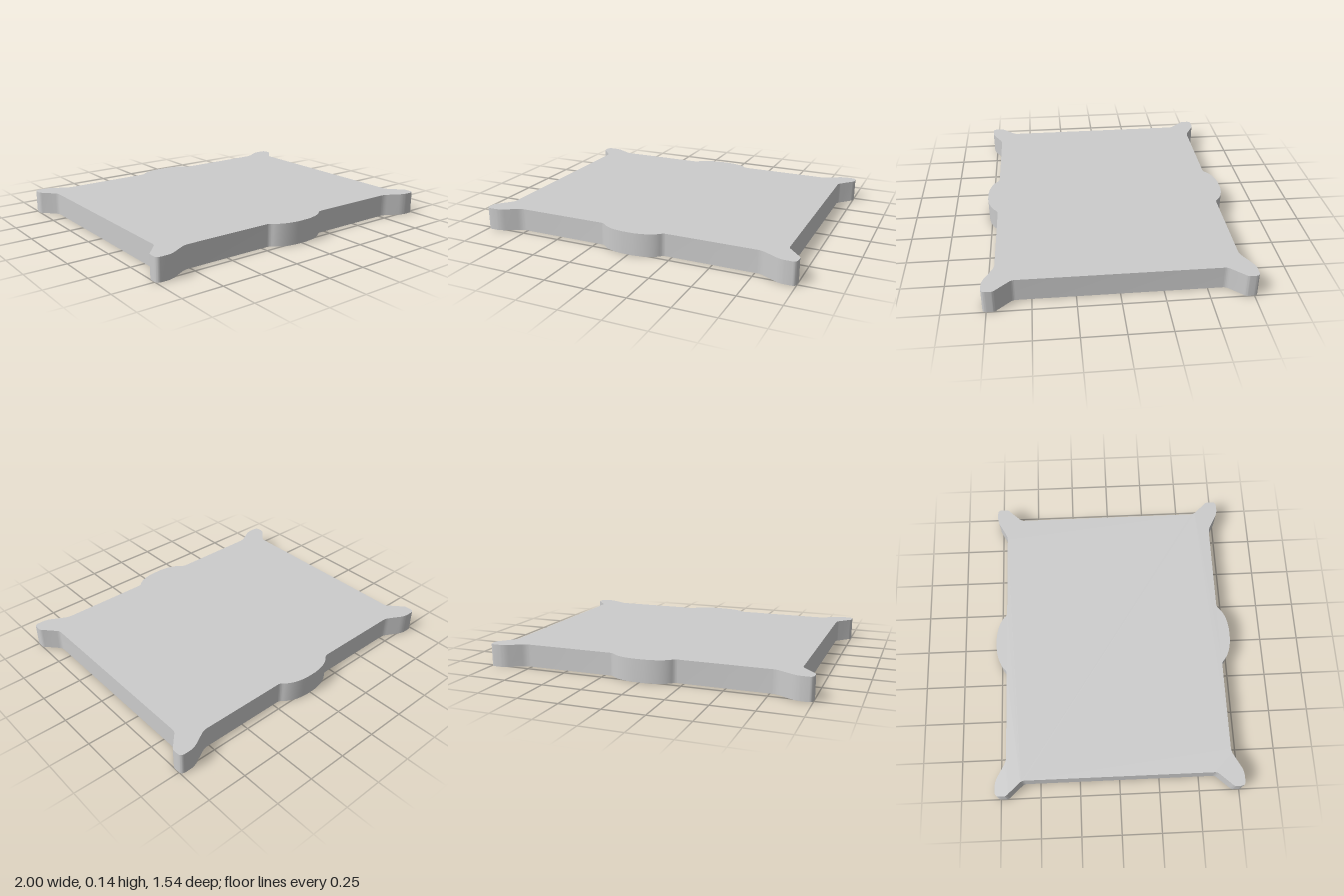
import * as THREE from 'three';
import { toCreasedNormals } from 'three/addons/utils/BufferGeometryUtils.js';

const HEIGHT = 0.14;
const OPENING = [0.79, 0.62]; // half size of the recess opening
// stepped moulding: [inset, height]
const MOULDING = [[0, 0], [0.04, 0.02], [0.055, 0.02], [0.095, 0.04], [0.105, 0.04], [0.125, 0.07]];

// One quarter of the outline (x, z), mirrored to all four corners
function outline() {
  const p = new THREE.Path();
  p.moveTo(0, 0.772);
  p.bezierCurveTo(0.09, 0.772, 0.15, 0.748, 0.18, 0.72);
  p.quadraticCurveTo(0.195, 0.703, 0.215, 0.703);
  p.lineTo(0.76, 0.703);
  p.quadraticCurveTo(0.785, 0.703, 0.81, 0.717);
  p.lineTo(0.88, 0.756);
  p.quadraticCurveTo(0.91, 0.772, 0.94, 0.772);
  p.lineTo(0.97, 0.772);
  p.quadraticCurveTo(1, 0.772, 1, 0.745);
  p.lineTo(1, 0.715);
  p.quadraticCurveTo(1, 0.7, 0.985, 0.688);
  p.lineTo(0.925, 0.622);
  p.quadraticCurveTo(0.91, 0.607, 0.91, 0.59);
  const q = p.getPoints(8).slice(1);
  const mirror = (sx, sz) => q.map(v => new THREE.Vector2(v.x * sx, v.y * sz));
  return [...q, ...mirror(1, -1).reverse(), ...mirror(-1, -1), ...mirror(-1, 1).reverse()];
}

const rectangle = (a, b) => [[a, b], [a, -b], [-a, -b], [-a, b]].map(c => new THREE.Vector2(...c));
const ring = (points, y) => points.map(p => [p.x, y, p.y]);

// Closed strip of quads between two rings
function band(lower, upper) {
  const n = lower.length, index = [];
  for (let i = 0; i < n; i++) {
    const j = (i + 1) % n;
    index.push(i, j, n + j, i, n + j, n + i);
  }
  const g = new THREE.BufferGeometry();
  g.setAttribute('position', new THREE.Float32BufferAttribute([...lower, ...upper].flat(), 3));
  g.setIndex(index);
  return toCreasedNormals(g, 0.6);
}

export function createModel() {
  const group = new THREE.Group();
  const material = new THREE.MeshStandardMaterial({ color: 0xcccccc });
  const add = (name, geometry, parent = group) => {
    const mesh = new THREE.Mesh(geometry, material);
    mesh.name = name;
    parent.add(mesh);
    return mesh;
  };
  const edge = outline();

  // Flat top and outer wall
  add('topFace', new THREE.ShapeGeometry(new THREE.Shape(edge)).rotateX(-Math.PI / 2)).position.y = HEIGHT;
  add('outerWall', band(ring(edge, 0), ring(edge, HEIGHT)));

  // Underside rim around the recess
  const rim = new THREE.Shape(edge);
  rim.holes.push(new THREE.Path(rectangle(...OPENING)));
  add('undersideRim', new THREE.ShapeGeometry(rim).rotateX(Math.PI / 2));

  // Stepped moulding leading up to the sunken panel
  const moulding = new THREE.Group();
  moulding.name = 'recessMoulding';
  group.add(moulding);
  const steps = MOULDING.map(([inset, y]) => ring(rectangle(OPENING[0] - inset, OPENING[1] - inset), y));
  for (let i = 1; i < steps.length; i++) add('mouldingStep' + i, band(steps[i], steps[i - 1]), moulding);

  // Sunken panel
  const [inset, depth] = MOULDING[MOULDING.length - 1];
  const panel = new THREE.PlaneGeometry(2 * (OPENING[0] - inset), 2 * (OPENING[1] - inset));
  add('recessPanel', panel.rotateX(Math.PI / 2)).position.y = depth;

  return group;
}
